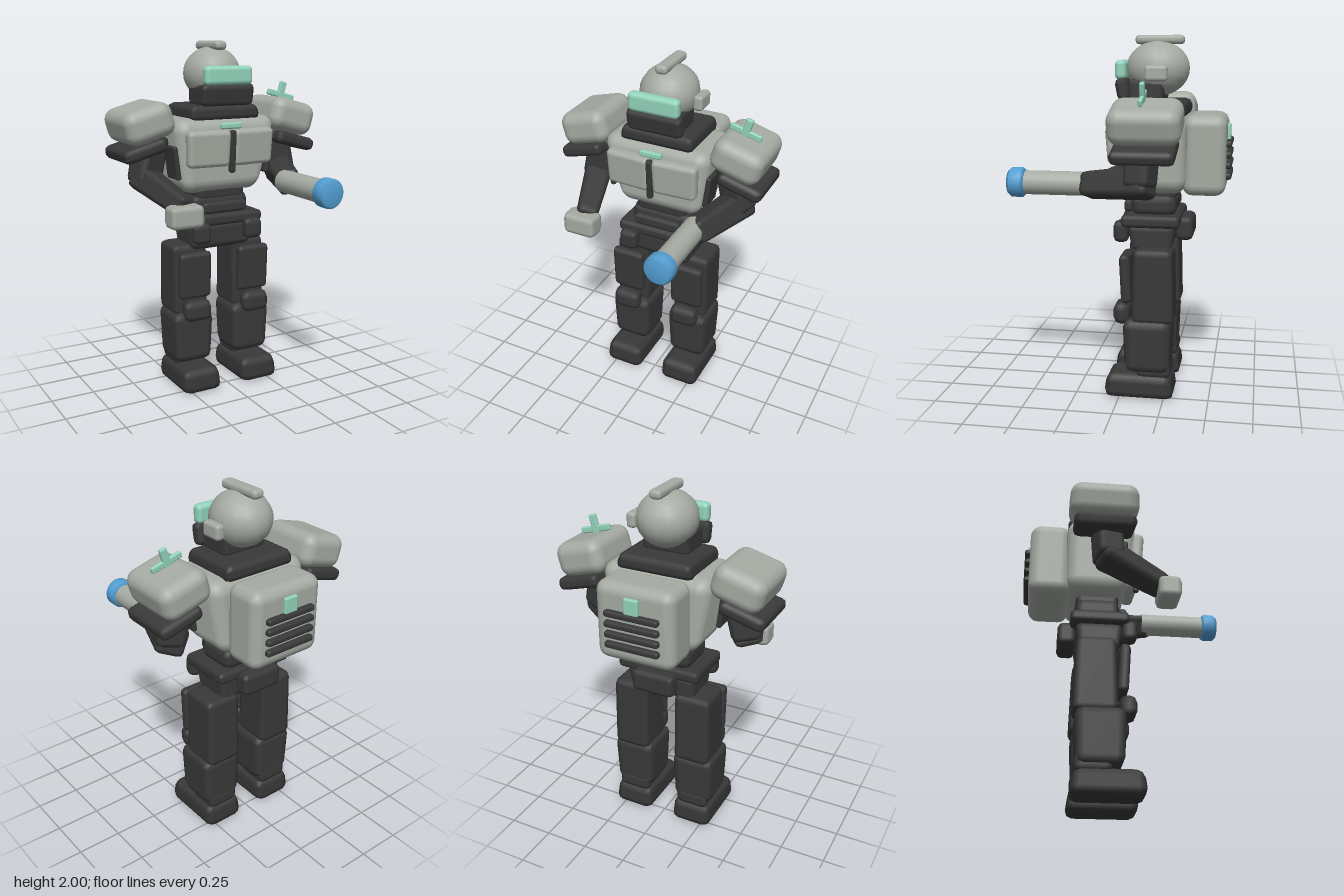
import * as THREE from 'three';
import { RoundedBoxGeometry } from 'three/addons/geometries/RoundedBoxGeometry.js';

const paint = (name, color) => {
  const m = new THREE.MeshStandardMaterial({ color });
  m.name = name;
  return m;
};

export function createModel() {
  const grey = paint('warm grey armour', 0xa5aba3);
  const dark = paint('charcoal', 0x393939);
  const mint = paint('mint', 0x93d4bc);
  const blue = paint('blue', 0x539fd3);
  const root = new THREE.Group();

  const add = (parent, name, geo, mat, p, r = [0, 0, 0]) => {
    const m = new THREE.Mesh(geo, mat);
    m.name = name;
    m.position.set(...p);
    m.rotation.set(...r);
    parent.add(m);
    return m;
  };

  // Chamfered box; the bottom and top are scaled in x and z to taper it
  const block = (w, h, d, r, { seg = 1, bottom = [1, 1], top = [1, 1], shift = 0 } = {}) => {
    const g = new RoundedBoxGeometry(w, h, d, seg, r);
    const p = g.attributes.position;
    for (let i = 0; i < p.count; i++) {
      const t = p.getY(i) / h + 0.5;
      const sx = bottom[0] + (top[0] - bottom[0]) * t;
      const sz = bottom[1] + (top[1] - bottom[1]) * t;
      p.setX(i, p.getX(i) * sx);
      p.setZ(i, p.getZ(i) * sz + shift * (1 - t));
    }
    return g;
  };

  // Limb segment running between two points
  const limb = (parent, name, a, b, w, d, end) => {
    const from = new THREE.Vector3(...a), to = new THREE.Vector3(...b);
    const dir = to.clone().sub(from);
    const g = block(w, dir.length(), d, 0.035, { top: [end, end] });
    const m = add(parent, name, g, dark, from.clone().add(to).multiplyScalar(0.5).toArray());
    m.quaternion.setFromUnitVectors(new THREE.Vector3(0, 1, 0), dir.normalize());
  };

  // Head
  const head = new THREE.Group();
  head.name = 'head';
  root.add(head);
  add(head, 'helmet', new THREE.SphereGeometry(1, 18, 14), grey, [0, 1.82, -0.175]).scale.set(0.162, 0.15, 0.175);
  add(head, 'crest', block(0.07, 0.05, 0.27, 0.022, { seg: 2 }), grey, [0, 1.975, -0.185]);
  add(head, 'visor', block(0.295, 0.105, 0.062, 0.025, { seg: 2 }), mint, [0, 1.814, 0.014]);
  add(head, 'jawGuard', block(0.325, 0.125, 0.075, 0.03), dark, [0, 1.71, 0], [0.2, 0, 0]);
  add(head, 'jaw', block(0.27, 0.13, 0.2, 0.03), dark, [0, 1.7, -0.12]);
  add(head, 'earpiece', block(0.055, 0.085, 0.125, 0.02, { seg: 2 }), grey, [0.182, 1.797, -0.185]);
  add(root, 'collar', block(0.45, 0.088, 0.365, 0.035, { top: [0.92, 0.97] }), dark, [0, 1.608, -0.172]);

  // Chest
  add(root, 'chest', block(0.65, 0.43, 0.4, 0.08, { seg: 3, bottom: [0.74, 0.82], shift: -0.03 }), grey, [0, 1.37, -0.16]);
  add(root, 'chestSeam', block(0.035, 0.24, 0.035, 0.012), dark, [0, 1.4, 0.068], [0.06, 0, 0]);
  add(root, 'chestBadge', block(0.13, 0.034, 0.03, 0.01), mint, [0, 1.542, 0.052]);
  for (const s of [-1, 1]) {
    add(root, 'chestPlate', block(0.262, 0.205, 0.075, 0.028, { seg: 2, bottom: [0.95, 1] }), grey,
      [s * 0.138, 1.42, 0.04], [0.07, s * 0.05, 0]);
    add(root, 'sideVent', block(0.03, 0.19, 0.14, 0.012), dark, [s * 0.295, 1.34, -0.09], [0, 0, -s * 0.13]);
  }

  // Backpack with vent slats
  add(root, 'backpack', block(0.45, 0.435, 0.235, 0.06, { seg: 3 }), grey, [0, 1.363, -0.448]);
  for (let i = 0; i < 4; i++)
    add(root, 'ventSlat', block(0.31, 0.036, 0.05, 0.014, { seg: 2 }), dark, [0, 1.25 + i * 0.058, -0.569]);
  add(root, 'backpackTag', block(0.085, 0.095, 0.03, 0.01), mint, [0, 1.477, -0.568]);

  // Waist and hips
  add(root, 'upperWaist', block(0.31, 0.1, 0.24, 0.035), dark, [0, 1.15, -0.175]);
  add(root, 'lowerWaist', block(0.36, 0.12, 0.25, 0.045), dark, [0, 1.08, -0.175]);
  add(root, 'bellyPlate', block(0.28, 0.065, 0.05, 0.02), dark, [0, 1.07, -0.03]);
  add(root, 'belt', block(0.485, 0.068, 0.325, 0.025), dark, [0, 1.0, -0.163]);
  add(root, 'pelvis', block(0.42, 0.16, 0.27, 0.04, { bottom: [0.92, 0.8] }), dark, [0, 0.9, -0.165]);
  add(root, 'backPouch', block(0.25, 0.13, 0.1, 0.03), dark, [0, 0.945, -0.34]);

  for (const s of [-1, 1]) {
    // Leg
    const leg = new THREE.Group();
    leg.name = s > 0 ? 'leftLeg' : 'rightLeg';
    leg.position.x = s * 0.19;
    root.add(leg);
    add(root, 'hipPouch', block(0.11, 0.12, 0.085, 0.032), dark, [s * 0.165, 0.935, 0.002]);
    add(leg, 'thigh', block(0.215, 0.42, 0.24, 0.035, { top: [1, 0.9] }), dark, [0, 0.645, -0.185]);
    add(leg, 'thighPlate', block(0.2, 0.275, 0.06, 0.026), dark, [0, 0.685, -0.035], [0.05, 0, 0]);
    add(leg, 'knee', block(0.17, 0.125, 0.095, 0.042), dark, [0, 0.48, -0.01]);
    add(leg, 'shin', block(0.255, 0.31, 0.28, 0.05, { bottom: [0.9, 0.9], top: [1, 0.98] }), dark, [0, 0.305, -0.157]);
    add(leg, 'ankle', block(0.195, 0.105, 0.2, 0.035), dark, [0, 0.17, -0.19]);
    add(leg, 'foot', block(0.245, 0.14, 0.4, 0.045, { top: [0.92, 0.9], bottom: [1, 1] }), dark, [0, 0.07, -0.112]);

    // Shoulder and upper arm
    const arm = new THREE.Group();
    arm.name = s > 0 ? 'leftArm' : 'rightArm';
    root.add(arm);
    add(arm, 'shoulder', block(0.29, 0.19, 0.375, 0.065, { seg: 3 }), grey, [s * 0.455, 1.565, -0.17], [0, 0, -s * 0.27]);
    add(arm, 'shoulderBand', block(0.26, 0.075, 0.332, 0.03), dark, [s * 0.48, 1.42, -0.167], [0, 0, -s * 0.27]);
    limb(arm, 'upperArm', [s * 0.39, 1.5, -0.15], [s * 0.45, 1.22, -0.14], 0.17, 0.15, 0.95);
  }

  // Left forearm ends in a cannon
  const left = root.getObjectByName('leftArm');
  limb(left, 'forearm', [0.455, 1.255, -0.2], [0.312, 1.21, 0.18], 0.165, 0.165, 0.8);
  add(left, 'cannonBarrel', new THREE.CylinderGeometry(0.065, 0.065, 0.4, 24), grey, [0.305, 1.217, 0.33], [Math.PI / 2, 0, 0]);
  const tip = [[0, -0.046], [0.066, -0.046], [0.081, -0.028], [0.081, 0.028], [0.066, 0.046], [0, 0.046]];
  add(left, 'cannonTip', new THREE.LatheGeometry(tip.map(([x, y]) => new THREE.Vector2(x, y)), 24), blue,
    [0.305, 1.217, 0.549], [Math.PI / 2, 0, 0]);

  // Right forearm ends in a fist
  const right = root.getObjectByName('rightArm');
  limb(right, 'forearm', [-0.455, 1.27, -0.18], [-0.345, 1.13, 0.18], 0.16, 0.15, 0.75);
  add(right, 'fist', block(0.195, 0.125, 0.125, 0.03), grey, [-0.362, 1.094, 0.193]);

  // Small cross mounted on the left shoulder
  const cross = new THREE.Group();
  cross.name = 'shoulderCross';
  cross.position.set(0.452, 1.683, -0.153);
  cross.rotation.z = -0.27;
  root.add(cross);
  add(cross, 'crossBar', block(0.185, 0.035, 0.024, 0.008), mint, [0, 0, 0]);
  add(cross, 'crossPost', block(0.042, 0.13, 0.026, 0.008), mint, [0, 0.015, 0]);

  return root;
}
